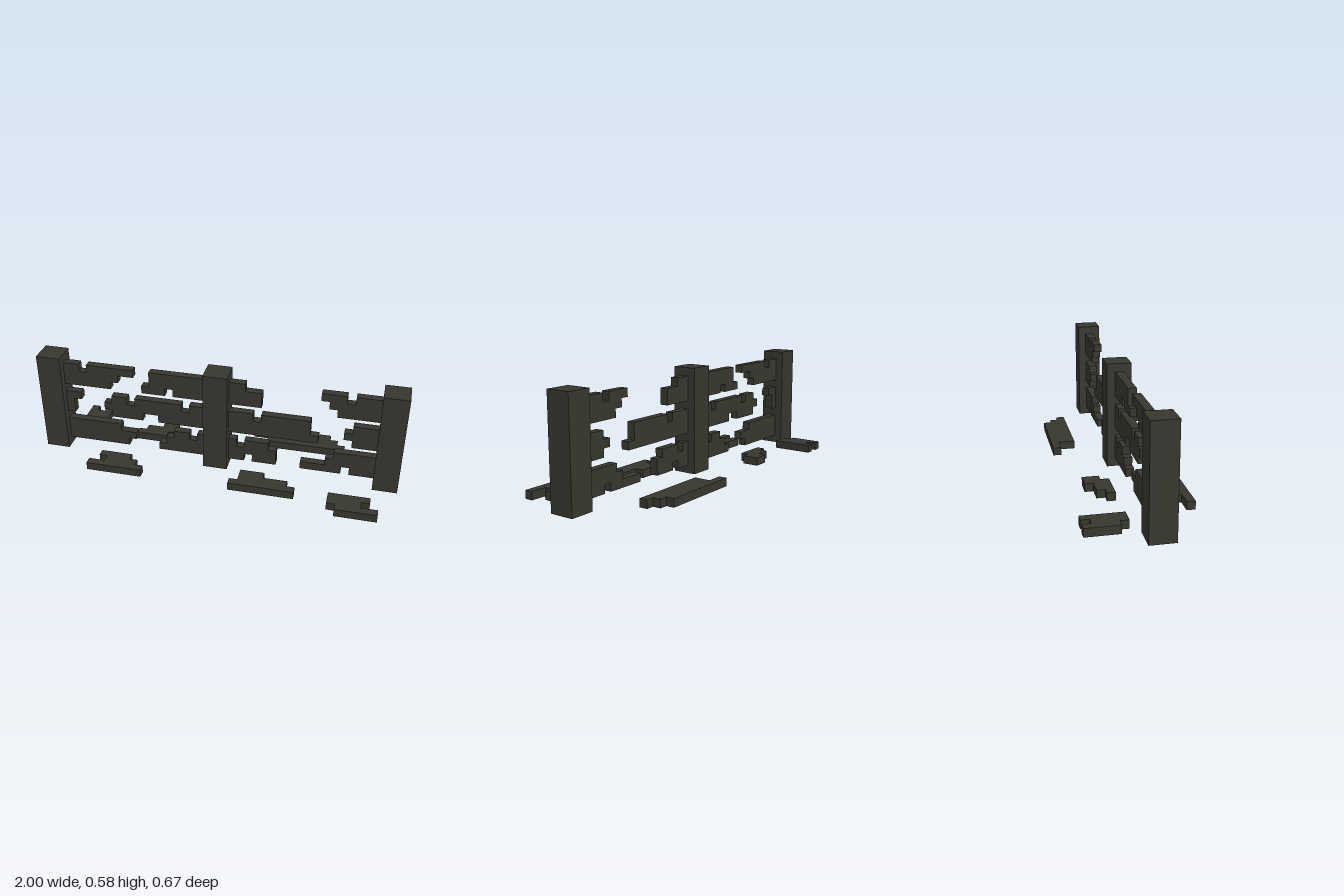
import * as THREE from 'three';
import { mergeGeometries } from 'three/addons/utils/BufferGeometryUtils.js';

// Everything sits on a block grid, 45 columns wide
const U = 2 / 45;

// One box spanning columns c0..c1, rows y0..y1 and depth z0..z1, in blocks
function block(c0, c1, y0, y1, z0, z1) {
  const g = new THREE.BoxGeometry((c1 - c0) * U, (y1 - y0) * U, (z1 - z0) * U);
  g.translate(((c0 + c1) / 2 - 22.5) * U, ((y0 + y1) / 2) * U, ((z0 + z1) / 2) * U);
  return g;
}

export function createModel() {
  const group = new THREE.Group();
  const wood = new THREE.MeshStandardMaterial({ color: 0x37362e });
  wood.name = 'charredWood';

  const add = (name, boxes) => {
    const mesh = new THREE.Mesh(mergeGeometries(boxes), wood);
    mesh.name = name;
    group.add(mesh);
  };

  // Three square posts
  [['rightPost', 0], ['middlePost', 21], ['leftPost', 42]].forEach(([name, c]) =>
    add(name, [block(c, c + 3, 0, 13, -1.5, 1.5)]));

  // Broken rails: top row index, then column runs for each row going down
  const rails = [
    ['topRailRightStub', 11, [[[3, 5], [6, 12]], [[3, 10]], [[3, 9]]]],
    ['topRailMiddleRight', 11, [[[14, 21]], [[14, 21]], [[13, 16], [17, 21]]]],
    ['topRailMiddleLeft', 11, [[[24, 26]], [[24, 28]], [[24, 28]]]],
    ['topRailLeftStub', 11, [[[35, 38], [39, 42]], [[36, 42]], [[37, 42]]]],
    ['centreRailRightStub', 7, [[[3, 5]], [[3, 4]], [[3, 4]]]],
    ['centreRailMiddleRight', 7, [[[9, 11], [12, 18], [19, 21]], [[8, 21]], [[9, 13], [15, 21]]]],
    ['centreRailMiddleLeft', 7, [[[24, 27], [28, 34]], [[24, 34]], [[24, 35]]]],
    ['centreRailLeftStub', 7, [[[39, 42]], [[38, 42]], [[39, 42]]]],
    ['bottomRailRightStub', 3, [[[3, 10]], [[3, 12]], [[3, 11]]]],
    ['bottomRailMiddleRight', 3, [[[17, 19], [20, 21]], [[16, 21]], [[15, 21]]]],
    ['bottomRailMiddleLeft', 3, [[[24, 25], [26, 29]], [[24, 30]], [[24, 26], [27, 30]]]],
    ['bottomRailLeftStub', 3, [[[37, 42]], [[36, 42]], [[33, 38], [39, 42]]]],
  ];
  for (const [name, top, rows] of rails) {
    add(name, rows.flatMap((runs, i) =>
      runs.map(([a, b]) => block(a, b, top - i, top - i + 1, -0.5, 0.5))));
  }

  // Fallen fragments: rearmost depth index, then column runs going forward
  const fragments = [
    ['backFragmentRight', -7, [[[3, 4], [5, 6]], [[3, 6]], [[3, 6]], [[3, 6]], [[4, 6]]]],
    ['backFragmentMiddle', -5, [[[14, 16]], [[12, 16]], [[11, 15]]]],
    ['backFragmentLeft', -7, [[[26, 36]], [[28, 37]], [[28, 38]]]],
    ['frontFragmentRight', 3, [[[8, 12]], [[9, 13]], [[7, 14]]]],
    ['frontFragmentMiddle', 3, [[[26, 29]], [[26, 32]], [[25, 33]]]],
    ['frontFragmentLeft', 5, [[[37, 42]], [[37, 41]], [[38, 43]]]],
  ];
  for (const [name, back, rows] of fragments) {
    add(name, rows.flatMap((runs, i) =>
      runs.map(([a, b]) => block(a, b, 0, 1, back + i - 0.5, back + i + 0.5))));
  }

  return group;
}
